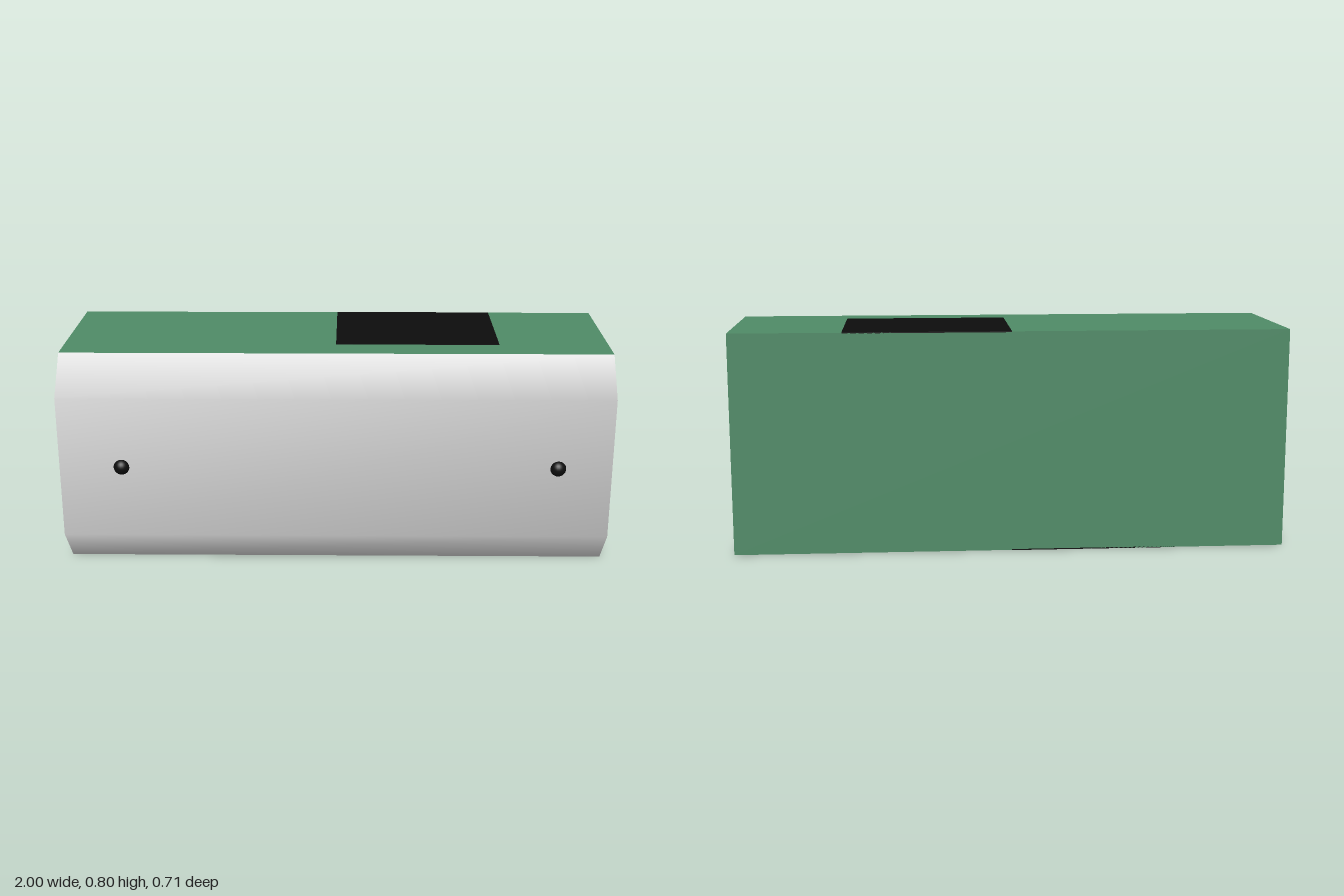
import * as THREE from 'three';

const green = new THREE.MeshStandardMaterial({ color: 0x4f8a66 });
const grey = new THREE.MeshStandardMaterial({ color: 0xcccccc });
const black = new THREE.MeshStandardMaterial({ color: 0x0d0d0d });
const dark = new THREE.MeshStandardMaterial({ color: 0x3c3c36 });

const BACK = -0.353, FRONT = 0.33, BEVEL = 0.215, H = 0.8, CUT = 0.135;

// Sheet running from x = -1 to x = 1 along a [z, y] profile
function sheet(profile, smooth) {
  const pos = [], index = [];
  profile.forEach(([z, y], i) => {
    pos.push(-1, y, z, 1, y, z);
    if (i) {
      const a = 2 * i - 2;
      index.push(a, a + 1, a + 3, a, a + 3, a + 2);
    }
  });
  let geo = new THREE.BufferGeometry();
  geo.setAttribute('position', new THREE.Float32BufferAttribute(pos, 3));
  geo.setIndex(index);
  if (!smooth) geo = geo.toNonIndexed();
  geo.computeVertexNormals();
  return geo;
}

export function createModel() {
  const model = new THREE.Group();
  model.name = 'beveledCase';
  const add = (name, geo, mat, x = 0, y = 0, z = 0) => {
    const mesh = new THREE.Mesh(geo, mat);
    mesh.name = name;
    mesh.position.set(x, y, z);
    model.add(mesh);
    return mesh;
  };

  const frontProfile = [[BEVEL, 0], [FRONT, CUT], [FRONT, H - CUT], [BEVEL, H]];
  const shellProfile = [[BEVEL, H], [BACK, H], [BACK, 0], [BEVEL, 0]];

  // Smoothly shaded front cover, and the green top, back and bottom
  add('frontCover', sheet(frontProfile, true), grey);
  add('shell', sheet(shellProfile, false), green);

  // End panels
  const outline = [...frontProfile, [BACK, H], [BACK, 0]];
  for (const side of [-1, 1]) {
    const shape = new THREE.Shape(outline.map(([z, y]) => new THREE.Vector2(-side * z, y)));
    const geo = new THREE.ShapeGeometry(shape).rotateY(side * Math.PI / 2);
    add(side > 0 ? 'leftEnd' : 'rightEnd', geo, green, side);
  }

  // Black panels, flush with the top and the bottom
  const depth = 0.1 - BACK;
  const panel = new THREE.BoxGeometry(0.6, 0.004, depth);
  add('topPanel', panel, black, 0.3, H - 0.001, BACK + depth / 2);
  add('bottomPanel', panel, black, -0.3, 0.001, BACK + depth / 2);

  // Round studs on the front
  const stud = new THREE.SphereGeometry(0.029, 24, 16);
  for (const x of [-0.775, 0.805]) add('frontStud', stud, black, x, 0.403, 0.325);

  // Small round plugs on the right end
  const plug = new THREE.CylinderGeometry(0.03, 0.03, 0.01, 24).rotateZ(Math.PI / 2);
  for (const y of [0.12, 0.68]) add('endPlug', plug, dark, -0.997, y, -0.272);

  return model;
}
